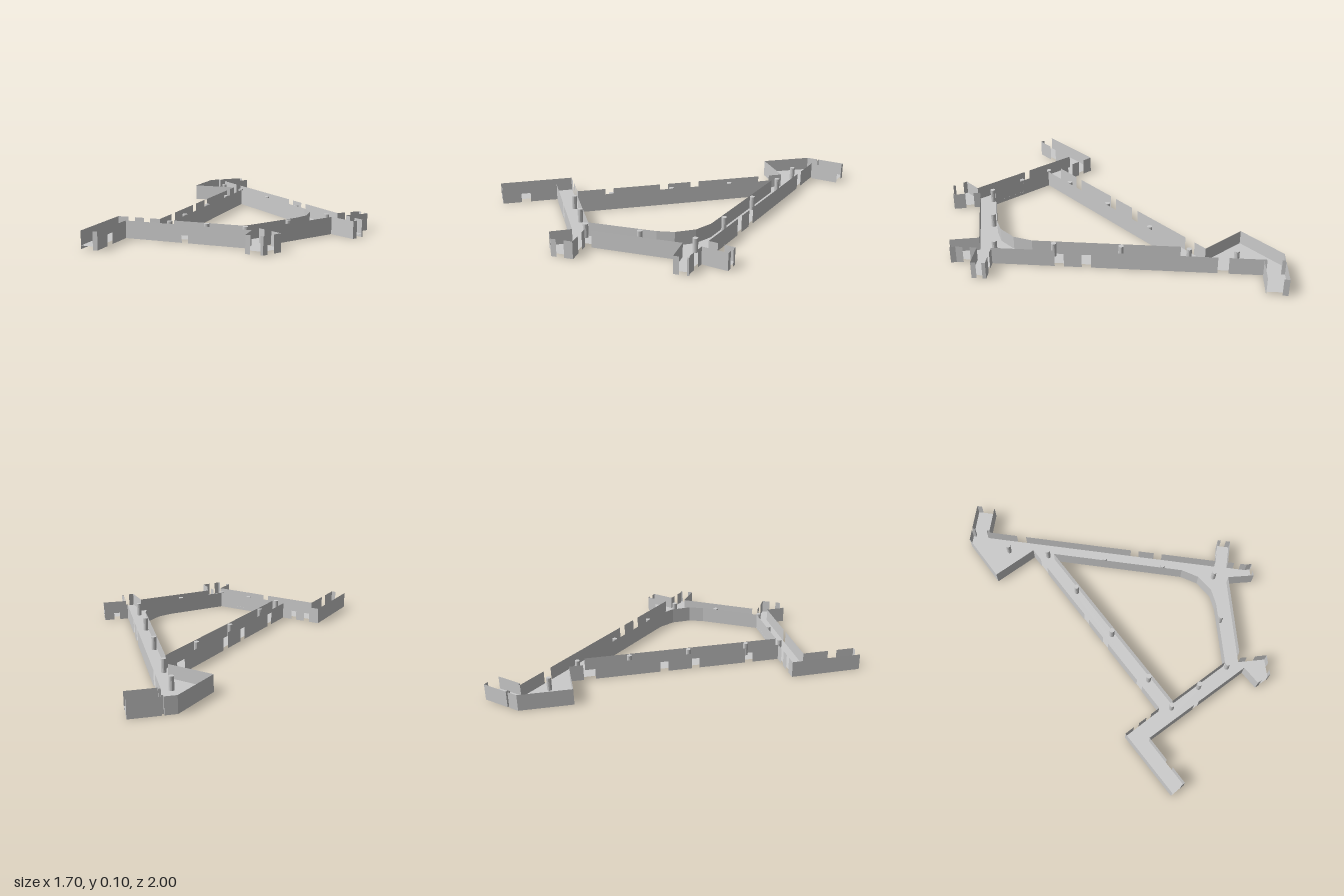
import * as THREE from 'three';

const HEIGHT = 0.1;
const FLOOR_Y = 0.02;
const PEG_RADIUS = 0.015;

// Outer outline: [x, z, gaps in the wall that starts here, as fractions of its length]
const outline = [
  [0.6, -1], [0.667, -1], [0.667, -0.98], [0.68, -0.98], [0.68, -1],
  [0.85, -1, [[0.27, 1]]], [0.85, -0.885], [0.68, -0.885], [0.68, -0.9],
  [0.667, -0.9, [[0.133, 0.173], [0.633, 0.667], [0.733, 0.767]]],
  [0.667, 0.6, [[0.35, 0.6]]], [0.82, 0.6, [[0.25, 0.65]]], [0.82, 0.68],
  [0.67, 0.68, [[0.33, 0.67]]], [0.67, 0.8], [0.68, 0.83, [[0.12, 0.62]]], [0.6, 0.85],
  [0.565, 0.69, [[0.93, 1]]],
  [0.03, 0.81, [[0.25, 0.56]]], [0.07, 0.97, [[0.4, 0.75]]], [-0.05, 1, [[0.15, 0.72]]], [-0.115, 0.93],
  [-0.03, 0.84, [[0.49, 0.54]]], [-0.545, 0.32, [[0.49, 0.66]]],
  [-0.78, 0.555, [[0.28, 1]]], [-0.85, 0.49],
  [-0.54, 0.175, [[0.25, 0.4], [0.62, 0.76]]],
  [-0.355, 0.355, [[0.128, 0.166], [0.39, 0.428], [0.54, 0.578], [0.882, 0.936]]],
  [0.58, -0.575], [0.375, -0.78],
];

// Triangular opening in the middle
const opening = [
  [-0.3, 0.43], [0.572, -0.44], [0.572, 0.39], [0.54, 0.5], [0.46, 0.59], [0.37, 0.63], [-0.01, 0.72],
];

// Centres of the hollow pegs
const pegs = [
  [0.59, -0.745], [0.59, -0.485], [0.59, -0.11], [0.59, 0.265], [0.59, 0.6], [0.363, -0.26],
  [0.1, 0.005], [-0.165, 0.27], [-0.325, 0.43], [-0.17, 0.58], [-0.015, 0.74], [0.29, 0.67],
];

const toVectors = (points) => points.map(([x, z]) => new THREE.Vector2(x, -z));

// Upright sheets along a closed outline, leaving out the gaps
function wallGeometry(points) {
  const positions = [];
  points.forEach(([x0, z0, gaps = []], i) => {
    const [x1, z1] = points[(i + 1) % points.length];
    const stops = [0, ...gaps.flat(), 1];
    for (let s = 0; s < stops.length; s += 2) {
      const [a, b] = [stops[s], stops[s + 1]];
      if (b - a < 1e-4) continue;
      const ax = x0 + (x1 - x0) * a, az = z0 + (z1 - z0) * a;
      const bx = x0 + (x1 - x0) * b, bz = z0 + (z1 - z0) * b;
      positions.push(
        ax, 0, az, ax, HEIGHT, az, bx, HEIGHT, bz,
        ax, 0, az, bx, HEIGHT, bz, bx, 0, bz,
      );
    }
  });
  const geometry = new THREE.BufferGeometry();
  geometry.setAttribute('position', new THREE.Float32BufferAttribute(positions, 3));
  geometry.computeVertexNormals();
  return geometry;
}

export function createModel() {
  const group = new THREE.Group();
  group.name = 'channelFrame';
  const material = new THREE.MeshStandardMaterial({
    color: 0xcccccc, flatShading: true, side: THREE.DoubleSide,
  });
  const add = (name, geometry) => {
    const mesh = new THREE.Mesh(geometry, material);
    mesh.name = name;
    group.add(mesh);
    return mesh;
  };

  // Floor sheet with the opening and peg holes, raised a little above the wall feet
  const shape = new THREE.Shape(toVectors(outline));
  shape.holes.push(new THREE.Path(toVectors(opening)));
  for (const [x, z] of pegs) {
    shape.holes.push(new THREE.Path().absarc(x, -z, PEG_RADIUS, 0, Math.PI * 2, true));
  }
  add('floorPlate', new THREE.ShapeGeometry(shape, 12).rotateX(-Math.PI / 2)).position.y = FLOOR_Y;

  // Rim walls
  add('outerWall', wallGeometry(outline));
  add('innerWall', wallGeometry(opening));

  // Pegs, open at the bottom and closed on top
  const tube = new THREE.CylinderGeometry(PEG_RADIUS, PEG_RADIUS, HEIGHT, 12, 1, true);
  const cap = new THREE.CircleGeometry(PEG_RADIUS, 12).rotateX(-Math.PI / 2);
  for (const [x, z] of pegs) {
    add('peg', tube).position.set(x, HEIGHT / 2, z);
    add('pegCap', cap).position.set(x, HEIGHT, z);
  }
  return group;
}
